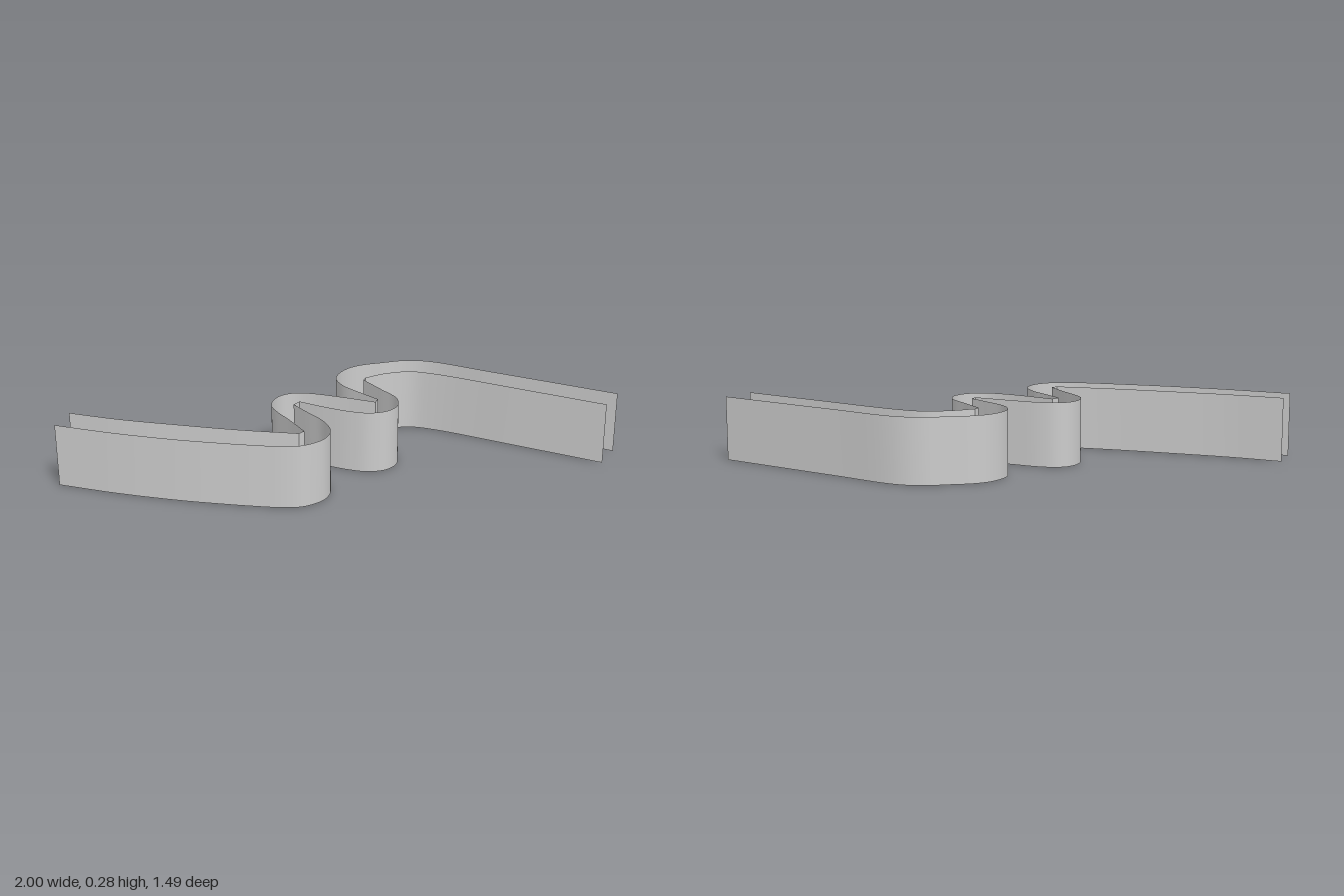
import * as THREE from 'three';

const HEIGHT = 0.28;

// Plan outlines as [x, z]; each strip is a chain of smooth runs meeting at narrow, blunt folds.
const FRONT_RUNS = [
  [[-0.97, 0.745], [-0.7, 0.692], [-0.44, 0.624], [-0.283, 0.573], [-0.13, 0.518], [0, 0.462],
    [0.06, 0.415], [0.1, 0.32], [0.08, 0.23], [0, 0.155], [-0.1, 0.108], [-0.2, 0.06]],
  [[-0.195, 0.018], [-0.07, 0.019], [0.05, 0.01], [0.135, -0.015], [0.193, -0.073], [0.203, -0.15],
    [0.16, -0.225], [0.05, -0.285], [-0.07, -0.347]],
  [[-0.075, -0.377], [-0.019, -0.468], [0.07, -0.545], [0.185, -0.572], [0.6, -0.588], [1, -0.6]],
];
const BACK_RUNS = [
  [[-1, 0.61], [-0.77, 0.563], [-0.531, 0.495], [-0.262, 0.412], [-0.02, 0.322]],
  [[-0.013, 0.29], [-0.12, 0.222], [-0.25, 0.145], [-0.288, 0.103], [-0.305, 0.05], [-0.3, -0.01],
    [-0.266, -0.056], [-0.2, -0.088], [-0.066, -0.115], [0.1, -0.138]],
  [[0.095, -0.172], [0, -0.2], [-0.12, -0.242], [-0.187, -0.3], [-0.208, -0.37], [-0.2, -0.45],
    [-0.165, -0.515], [-0.1, -0.583], [-0.014, -0.665], [0.09, -0.707], [0.4, -0.722], [1, -0.745]],
];

const material = new THREE.MeshStandardMaterial({ color: 0xcccccc, side: THREE.DoubleSide });

// Upright, thin wall following a smooth curve on the ground
function wall(points) {
  const curve = new THREE.CatmullRomCurve3(points.map(([x, z]) => new THREE.Vector3(x, 0, z)));
  const steps = (points.length - 1) * 8;
  const geometry = new THREE.PlaneGeometry(1, HEIGHT, steps, 1);
  const position = geometry.attributes.position;
  const path = curve.getPoints(steps);
  for (let i = 0; i <= steps; i++) {
    position.setXYZ(i, path[i].x, HEIGHT, path[i].z);
    position.setXYZ(i + steps + 1, path[i].x, 0, path[i].z);
  }
  geometry.computeVertexNormals();
  return new THREE.Mesh(geometry, material);
}

// One strip: its smooth runs, with a small flat facet closing each fold
function strip(name, runs) {
  const group = new THREE.Group();
  group.name = name;
  runs.forEach((points, i) => {
    const run = wall(points);
    run.name = `${name}Run${i + 1}`;
    group.add(run);
    if (i > 0) {
      const fold = wall([runs[i - 1].at(-1), points[0]]);
      fold.name = `${name}Fold${i}`;
      group.add(fold);
    }
  });
  return group;
}

export function createModel() {
  const model = new THREE.Group();
  model.name = 'windingWalls';
  model.add(strip('frontWall', FRONT_RUNS), strip('backWall', BACK_RUNS));
  return model;
}
